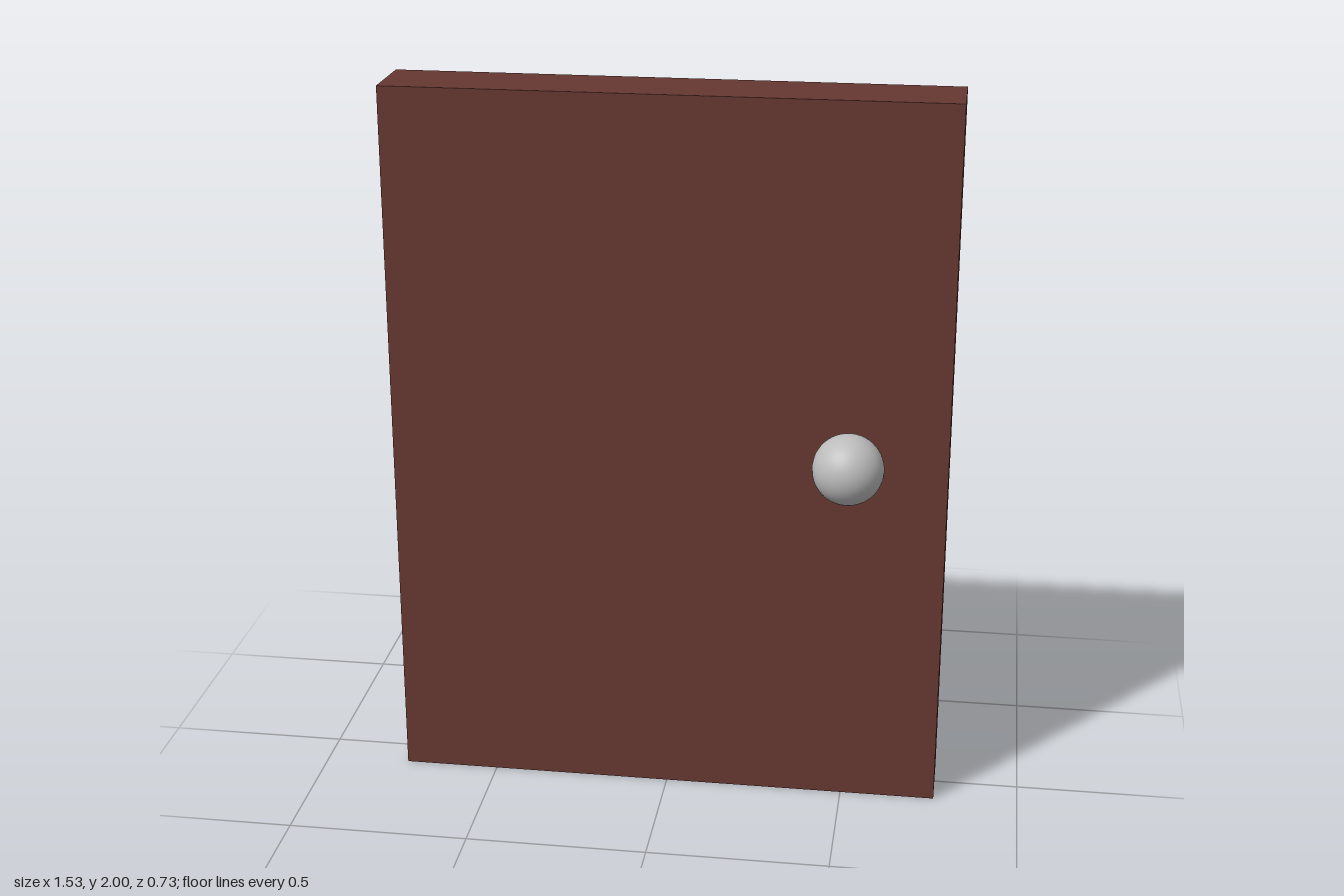
import * as THREE from 'three';

export function createModel() {
  const model = new THREE.Group();
  model.name = 'door';

  const wood = new THREE.MeshStandardMaterial({ color: 0x673831 });
  wood.name = 'dark red wood';
  const metal = new THREE.MeshStandardMaterial({ color: 0xbcbcbc });
  metal.name = 'grey metal';

  const add = (name, geometry, material, x, y, z) => {
    const mesh = new THREE.Mesh(geometry, material);
    mesh.name = name;
    mesh.position.set(x, y, z);
    model.add(mesh);
    return mesh;
  };

  // Door slab
  const slabZ = -0.003;
  add('doorPanel', new THREE.BoxGeometry(1.53, 2, 0.206), wood, 0, 1, slabZ);

  // Spindle through the slab, with a round knob on each side
  const knobX = 0.505, knobY = 1.06, reach = 0.271;
  const spindle = add('spindle', new THREE.CylinderGeometry(0.023, 0.023, reach * 2, 32), metal, knobX, knobY, -0.002);
  spindle.rotation.x = Math.PI / 2;
  for (const [name, side] of [['frontKnob', 1], ['backKnob', -1]]) {
    add(name, new THREE.SphereGeometry(0.095, 40, 28), metal, knobX, knobY, side * reach - 0.002);
  }

  return model;
}
